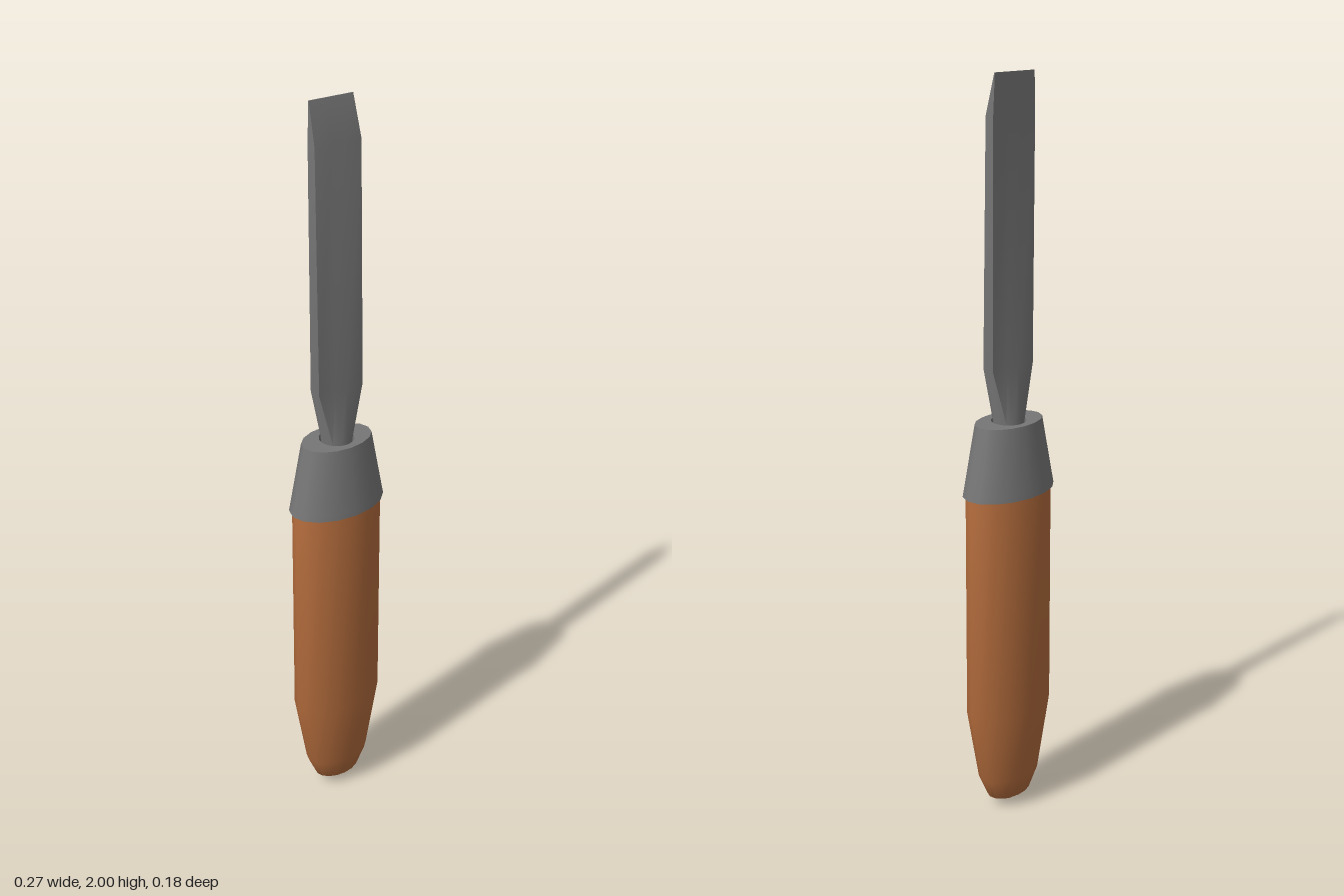
import * as THREE from 'three';
import { toCreasedNormals } from 'three/addons/utils/BufferGeometryUtils.js';

// Skin a stack of equally sized closed rings of [x, y, z] points
function loft(rings) {
  const n = rings[0].length, index = [];
  for (let r = 0; r < rings.length - 1; r++) {
    for (let i = 0; i < n; i++) {
      const a = r * n + i, b = r * n + (i + 1) % n;
      index.push(a, a + n, b, b, a + n, b + n);
    }
  }
  const geometry = new THREE.BufferGeometry();
  geometry.setAttribute('position', new THREE.Float32BufferAttribute(rings.flat(2), 3));
  geometry.setIndex(index);
  return toCreasedNormals(geometry, 0.75);
}

// Elliptical ring
function oval(y, rx, rz, n = 16) {
  return Array.from({ length: n }, (_, i) => {
    const a = i / n * Math.PI * 2;
    return [rx * Math.cos(a), y, rz * Math.sin(a)];
  });
}

// Ring that runs from an ellipse (square = 0) to a rectangle (square = 1)
function bladeSection([y, halfWidth, back, front, square]) {
  return Array.from({ length: 12 }, (_, i) => {
    const a = Math.PI / 4 + i / 12 * Math.PI * 2;
    const c = Math.cos(a), s = Math.sin(a);
    const k = 1 + square * (1 / Math.max(Math.abs(c), Math.abs(s)) - 1);
    return [halfWidth * c * k, y, (front + back) / 2 + (front - back) / 2 * s * k];
  });
}

export function createModel() {
  const wood = new THREE.MeshStandardMaterial({ color: 0xb06a3b });
  wood.name = 'wood';
  const steel = new THREE.MeshStandardMaterial({ color: 0x767676 });
  steel.name = 'steel';

  const group = new THREE.Group();
  group.name = 'chisel';
  const add = (name, rings, material) => {
    const mesh = new THREE.Mesh(loft(rings), material);
    mesh.name = name;
    group.add(mesh);
  };

  // Oval handle, its top hidden inside the collar
  add('handle', [
    [0, 0, 0], [0.035, 0.068, 0.044], [0.1, 0.096, 0.062], [0.31, 0.131, 0.085],
    [0.95, 0.128, 0.083], [1.09, 0.09, 0.058], [1.09, 0, 0],
  ].map(p => oval(...p)), wood);

  // Tapered collar with a lip below and a round hole on top
  add('collar', [
    [0.945, 0.124, 0.08], [0.945, 0.137, 0.088], [0.96, 0.134, 0.086],
    [1.135, 0.1, 0.065], [1.135, 0.046, 0.046], [1.09, 0.046, 0.046],
  ].map(p => oval(...p)), steel);

  // Round shank flattening into a blade with a bevelled cutting edge
  add('blade', [
    [1.08, 0.04, -0.039, 0.039, 0],
    [1.135, 0.041, -0.037, 0.037, 0.1],
    [1.28, 0.066, -0.017, 0.02, 1],
    [1.9, 0.065, -0.021, 0.007, 1],
    [2, 0.061, -0.023, -0.021, 1],
    [2, 0, -0.022, -0.022, 1],
  ].map(bladeSection), steel);

  return group;
}
